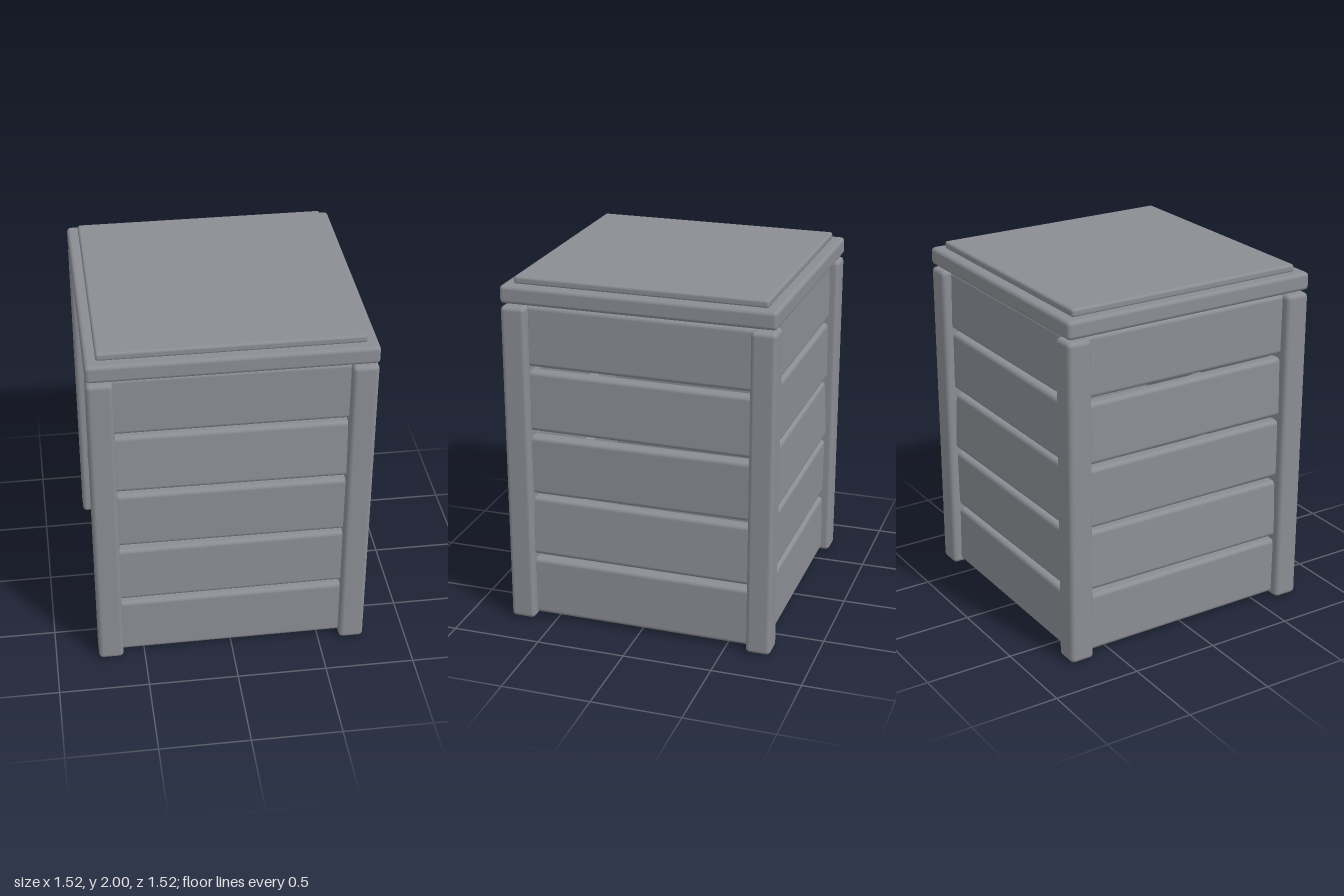
import * as THREE from 'three';
import { RoundedBoxGeometry } from 'three/addons/geometries/RoundedBoxGeometry.js';

export function createModel() {
  const crate = new THREE.Group();
  crate.name = 'slattedCrate';
  const grey = new THREE.MeshStandardMaterial({ color: 0x8b8d94 });
  grey.name = 'weathered grey';

  // Box with softened edges, placed by its centre
  function block(name, w, h, d, radius, x, y, z, parent = crate) {
    const mesh = new THREE.Mesh(new RoundedBoxGeometry(w, h, d, 2, radius), grey);
    mesh.name = name;
    mesh.position.set(x, y, z);
    parent.add(mesh);
    return mesh;
  }

  // Corner posts
  for (const sx of [-1, 1]) {
    for (const sz of [-1, 1]) {
      block('cornerPost', 0.14, 1.845, 0.14, 0.025, sx * 0.69, 0.9225, sz * 0.69);
    }
  }

  // Five loosely fitted slats per side: small lean and roll, in radians
  const lean = [
    [-0.01, -0.015, 0.005, -0.06, -0.01],
    [0.005, -0.06, 0.02, -0.025, -0.02],
    [-0.015, 0.01, -0.05, -0.01, -0.02],
    [0.01, -0.04, -0.01, -0.03, 0.005],
  ];
  const roll = [
    [0.004, 0.005, -0.004, -0.005, -0.003],
    [-0.002, -0.003, 0.004, -0.004, -0.003],
    [-0.004, 0.003, 0.004, -0.003, 0.002],
    [0.003, -0.004, 0.002, 0.004, -0.003],
  ];
  for (let side = 0; side < 4; side++) {
    const wall = new THREE.Group();
    wall.name = ['frontWall', 'leftWall', 'backWall', 'rightWall'][side];
    wall.rotation.y = side * Math.PI / 2;
    for (let i = 0; i < 5; i++) {
      const slat = block('slat', 1.28, 0.343, 0.08, 0.025, 0, 0.188 + i * 0.371, 0.67, wall);
      slat.rotation.set(lean[side][i], 0, roll[side][i]);
    }
    crate.add(wall);
  }

  // Floor and two-layer lid
  block('floor', 1.36, 0.05, 1.36, 0.01, 0, 0.045, 0);
  block('lid', 1.52, 0.1, 1.52, 0.022, 0, 1.91, 0);
  block('lidPanel', 1.4, 0.045, 1.4, 0.015, 0, 1.9775, 0);

  return crate;
}
